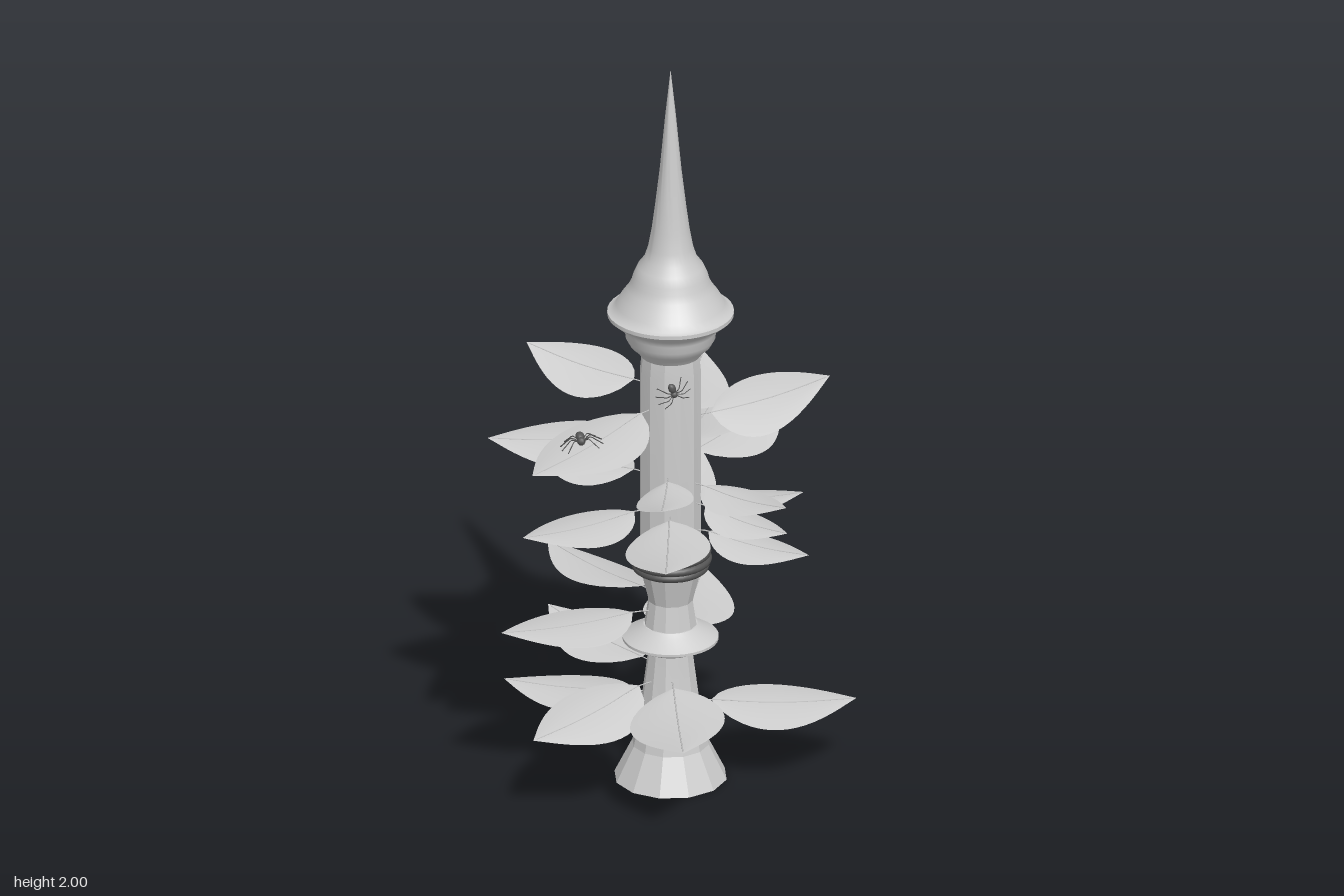
import * as THREE from 'three';
import { toCreasedNormals } from 'three/addons/utils/BufferGeometryUtils.js';

const stone = new THREE.MeshStandardMaterial({ color: 0xcccccc, side: THREE.DoubleSide });
stone.name = 'pale grey';
const dark = new THREE.MeshStandardMaterial({ color: 0x555555 });
dark.name = 'dark grey';
const AXIS_Z = -0.022;

function add(parent, name, geometry, material = stone) {
  const mesh = new THREE.Mesh(geometry, material);
  mesh.name = name;
  parent.add(mesh);
  return mesh;
}

function turned(points, sides, crease) {
  const profile = points.map(([r, y]) => new THREE.Vector2(r, y));
  return toCreasedNormals(new THREE.LatheGeometry(profile, sides), crease);
}

function tube(points, radius, segments = 8, sides = 5) {
  const curve = new THREE.CatmullRomCurve3(points.map(p => new THREE.Vector3(...p)));
  return new THREE.TubeGeometry(curve, segments, radius, sides);
}

// Pointed leaf reaching from the post to the given tip, rolled about its midrib
function makeLeaf([tx, ty, tz, baseY, roll = 0]) {
  const leaf = new THREE.Group();
  leaf.name = 'leaf';
  const reach = Math.hypot(tx, tz - AXIS_Z), start = 0.105, length = reach - start;
  const dx = tx / reach, dz = (tz - AXIS_Z) / reach;
  const rise = u => baseY + (ty - baseY) * u - 0.01 * Math.sin(Math.PI * u);
  const at = (u, side = 0, drop = 0) => [
    dx * (start + u * length) - dz * side,
    rise(u) + roll * side - drop,
    AXIS_Z + dz * (start + u * length) + dx * side];

  const blade = new THREE.PlaneGeometry(2, 1, 6, 16);
  const pos = blade.attributes.position;
  for (let i = 0; i < pos.count; i++) {
    const v = pos.getX(i), u = Math.min(1, Math.max(0, pos.getY(i) + 0.5));
    const w = Math.pow(u, 0.75) * Math.pow(1 - u, 1.08) / 0.288;
    pos.setXYZ(i, ...at(u, v * w * length * 0.32, 0.014 * w * v * v));
  }
  blade.computeVertexNormals();
  add(leaf, 'leafBlade', blade);
  add(leaf, 'leafStem', tube(
    [[dx * 0.04, baseY - 0.005, AXIS_Z + dz * 0.04], at(0), at(0.3), at(0.6), at(0.97)], 0.0018, 12, 4));
  return leaf;
}

// Small spider facing local +z, standing on y = 0
function makeSpider() {
  const spider = new THREE.Group();
  spider.name = 'spider';
  const abdomen = add(spider, 'spiderAbdomen', new THREE.SphereGeometry(0.015, 12, 8), dark);
  abdomen.scale.set(0.8, 0.7, 1.1);
  abdomen.position.set(0, 0.015, -0.024);
  const head = add(spider, 'spiderHead', new THREE.SphereGeometry(0.011, 10, 8), dark);
  head.position.set(0, 0.011, 0);
  for (const s of [-1, 1]) {
    for (let i = 0; i < 4; i++) {
      const a = (i - 1.5) * 0.5;
      const p = (r, y) => [s * r * Math.cos(a), y, r * Math.sin(a)];
      add(spider, 'spiderLeg',
        tube([p(0.005, 0.01), p(0.025, 0.022), p(0.04, 0.012), p(0.056, 0)], 0.0016, 8, 4), dark);
    }
  }
  return spider;
}

export function createModel() {
  const model = new THREE.Group();
  model.name = 'leafyPost';
  const post = new THREE.Group();
  post.name = 'post';
  post.position.z = AXIS_Z;
  model.add(post);

  // Faceted foot, waist and shaft
  add(post, 'foot', turned(
    [[0, 0], [0.147, 0], [0.1, 0.095], [0.078, 0.2], [0.056, 0.37]], 12, 0.1));
  add(post, 'waist', turned([[0.07, 0.42], [0.058, 0.5], [0.08, 0.59]], 12, 0.1));
  add(post, 'shaft', turned([[0.08, 0.62], [0.08, 1.15], [0.075, 1.2]], 12, 0.1));

  // Collar and stacked dark bands
  add(post, 'collar', turned(
    [[0.05, 0.36], [0.075, 0.365], [0.124, 0.39], [0.124, 0.397], [0.085, 0.42], [0.07, 0.432], [0.05, 0.432]], 32, 0.5));
  [[0.597, 0.1], [0.617, 0.107], [0.637, 0.105]].forEach(([y, r]) => {
    const band = add(post, 'band', new THREE.TorusGeometry(r - 0.011, 0.011, 10, 32), dark);
    band.rotation.x = Math.PI / 2;
    band.position.y = y;
  });

  // Smooth spire: cup, rim, swelling dome, needle
  add(post, 'spire', turned([
    [0, 1.19], [0.078, 1.195], [0.088, 1.21], [0.105, 1.225], [0.116, 1.245], [0.118, 1.265], [0.124, 1.28],
    [0.148, 1.295], [0.163, 1.308], [0.163, 1.318], [0.152, 1.322], [0.14, 1.338], [0.127, 1.36], [0.111, 1.382],
    [0.101, 1.402], [0.096, 1.42], [0.085, 1.445], [0.068, 1.468], [0.058, 1.5], [0.049, 1.55], [0.041, 1.61],
    [0.028, 1.72], [0.014, 1.87], [0, 2]], 40, 0.75));

  // Leaves: tip x, tip y, tip z, height at the post, roll slope
  const leaves = [
    [-0.29, 1.14, -0.32, 1.1, 0.25], [-0.45, 1.01, 0.195, 1.06], [0.41, 1.1, 0.045, 1.02, -0.38],
    [-0.445, 0.955, -0.175, 0.965, 0.1], [0.165, 0.81, -0.39, 0.74, -0.35], [0.215, 1.01, -0.39, 0.99],
    [0.385, 0.905, -0.3, 0.88, -0.1], [-0.13, 0.9, 0.285, 0.88, -0.15], [0.21, 0.86, 0.285, 0.85],
    [-0.28, 0.86, -0.31, 0.845, 0.12], [0.305, 0.83, 0.145, 0.8], [0.27, 0.9, -0.4, 0.9, 0.2],
    [0.225, 0.77, 0.25, 0.79], [-0.425, 0.765, 0.045, 0.77], [-0.155, 0.775, 0.395, 0.77, -0.1],
    [0.29, 0.69, 0.23, 0.71], [-0.19, 0.51, -0.445, 0.5, -0.22], [-0.47, 0.485, 0.005, 0.48],
    [0.23, 0.38, -0.43, 0.375], [-0.19, 0.33, -0.44, 0.3], [-0.125, 0.285, 0.445, 0.295, -0.12],
    [-0.43, 0.235, 0.145, 0.285, 0.15], [-0.365, 0.215, -0.28, 0.23], [0.465, 0.2, 0.095, 0.21, -0.08]];
  leaves.forEach(l => model.add(makeLeaf(l)));

  // One spider on an upper leaf, one climbing the shaft
  const leafSpider = makeSpider();
  leafSpider.position.set(-0.28, 1.027, 0.092);
  leafSpider.rotation.set(0, -0.2, 0.14);
  const shaftSpider = makeSpider();
  shaftSpider.position.set(-0.02, 1.12, AXIS_Z + 0.078);
  shaftSpider.rotation.set(Math.PI / 2, 0.35, 0);
  shaftSpider.scale.setScalar(0.85);
  model.add(leafSpider, shaftSpider);
  return model;
}
